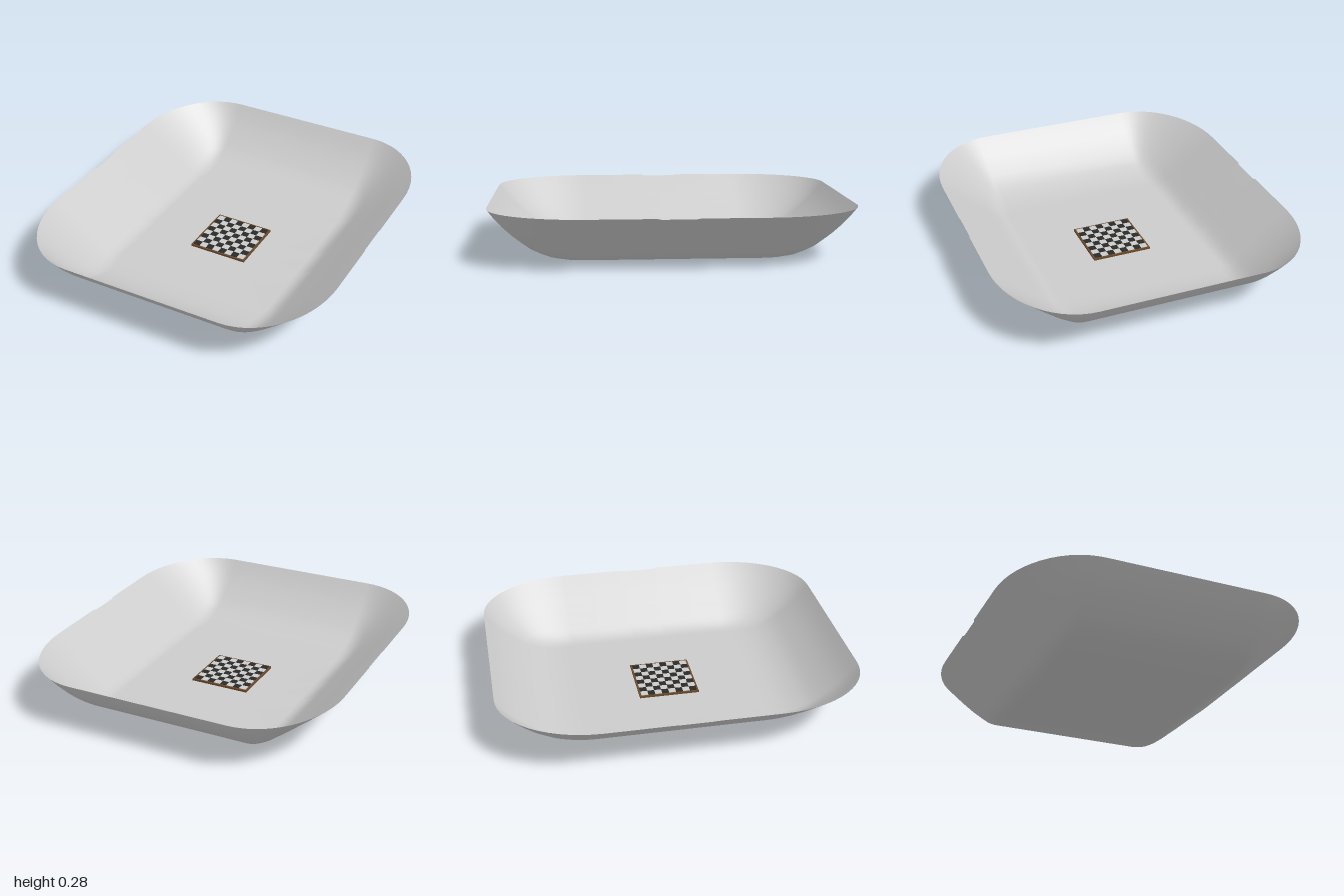
import * as THREE from 'three';
import { mergeGeometries } from 'three/addons/utils/BufferGeometryUtils.js';

// Corner centres shared by every level of the tray
const CORE_X = 0.46, CORE_Z = 0.47;

// Tray levels from floor to rim: half width, half depth, height
const LEVELS = [
  [0.48, 0.51, 0], [0.51, 0.59, 0.005], [0.54, 0.66, 0.017],
  [0.57, 0.72, 0.039], [0.6, 0.77, 0.063], [0.645, 0.82, 0.1],
  [0.695, 0.87, 0.14], [0.75, 0.92, 0.187], [0.81, 0.963, 0.236], [0.87, 1, 0.285],
];

// Outline as points on the core rectangle, each with an outward direction
function outline() {
  const points = [];
  const steps = 14;
  for (let q = 0; q < 4; q++) {
    const sx = q === 0 || q === 3 ? 1 : -1;
    const sz = q < 2 ? 1 : -1;
    for (let i = 0; i <= steps; i++) {
      const a = (q + i / steps) * Math.PI / 2;
      points.push({ x: sx * CORE_X, z: sz * CORE_Z, dx: Math.cos(a), dz: Math.sin(a) });
    }
    // Extra points along the long sides for the shallow dip in the rim
    if (q % 2 === 1) {
      for (const z of [-0.3, -0.11, -0.09, 0, 0.09, 0.11, 0.3]) {
        points.push({ x: sx * CORE_X, z: q === 1 ? -z : z, dx: sx, dz: 0 });
      }
    }
  }
  return points;
}

// Thin sheet: a flat floor fan followed by strips up the flared walls
function trayGeometry() {
  const points = outline();
  const n = points.length;
  const pos = [0, 0, 0];
  const index = [];
  LEVELS.forEach(([hx, hz, y], level) => {
    for (const p of points) {
      const dip = level === LEVELS.length - 1 && Math.abs(p.z) < 0.1 ? 0.005 : 0;
      pos.push(p.x + p.dx * (hx - CORE_X - dip), y - dip, p.z + p.dz * (hz - CORE_Z));
    }
    for (let i = 0; i < n; i++) {
      const j = (i + 1) % n;
      const outer = 1 + level * n, inner = outer - n;
      if (level === 0) index.push(0, outer + j, outer + i);
      else index.push(inner + i, inner + j, outer + i, inner + j, outer + j, outer + i);
    }
  });
  const geometry = new THREE.BufferGeometry();
  geometry.setAttribute('position', new THREE.Float32BufferAttribute(pos, 3));
  geometry.setIndex(index);
  geometry.computeVertexNormals();
  return geometry;
}

function addMesh(parent, name, geometry, color, side = THREE.FrontSide) {
  const mesh = new THREE.Mesh(geometry, new THREE.MeshStandardMaterial({ color, side }));
  mesh.name = name;
  parent.add(mesh);
}

// Chequered board lying on the tray floor
function createBoard() {
  const board = new THREE.Group();
  board.name = 'checkerboard';
  const base = new THREE.BoxGeometry(0.344, 0.011, 0.344).translate(0, 0.0065, 0);
  addMesh(board, 'boardFrame', base, 0x6b4a2a);

  const cell = 0.0405;
  const squares = [[], []];
  for (let row = 0; row < 8; row++) {
    for (let col = 0; col < 8; col++) {
      const square = new THREE.BoxGeometry(cell, 0.004, cell);
      square.translate((col - 3.5) * cell, 0.012, (row - 3.5) * cell);
      squares[(row + col) % 2].push(square);
    }
  }
  addMesh(board, 'lightSquares', mergeGeometries(squares[0]), 0xd4d4d0);
  addMesh(board, 'darkSquares', mergeGeometries(squares[1]), 0x2a2a28);
  return board;
}

export function createModel() {
  const model = new THREE.Group();
  model.name = 'trayWithBoard';
  addMesh(model, 'tray', trayGeometry(), 0xcccccc, THREE.DoubleSide);
  model.add(createBoard());
  return model;
}
